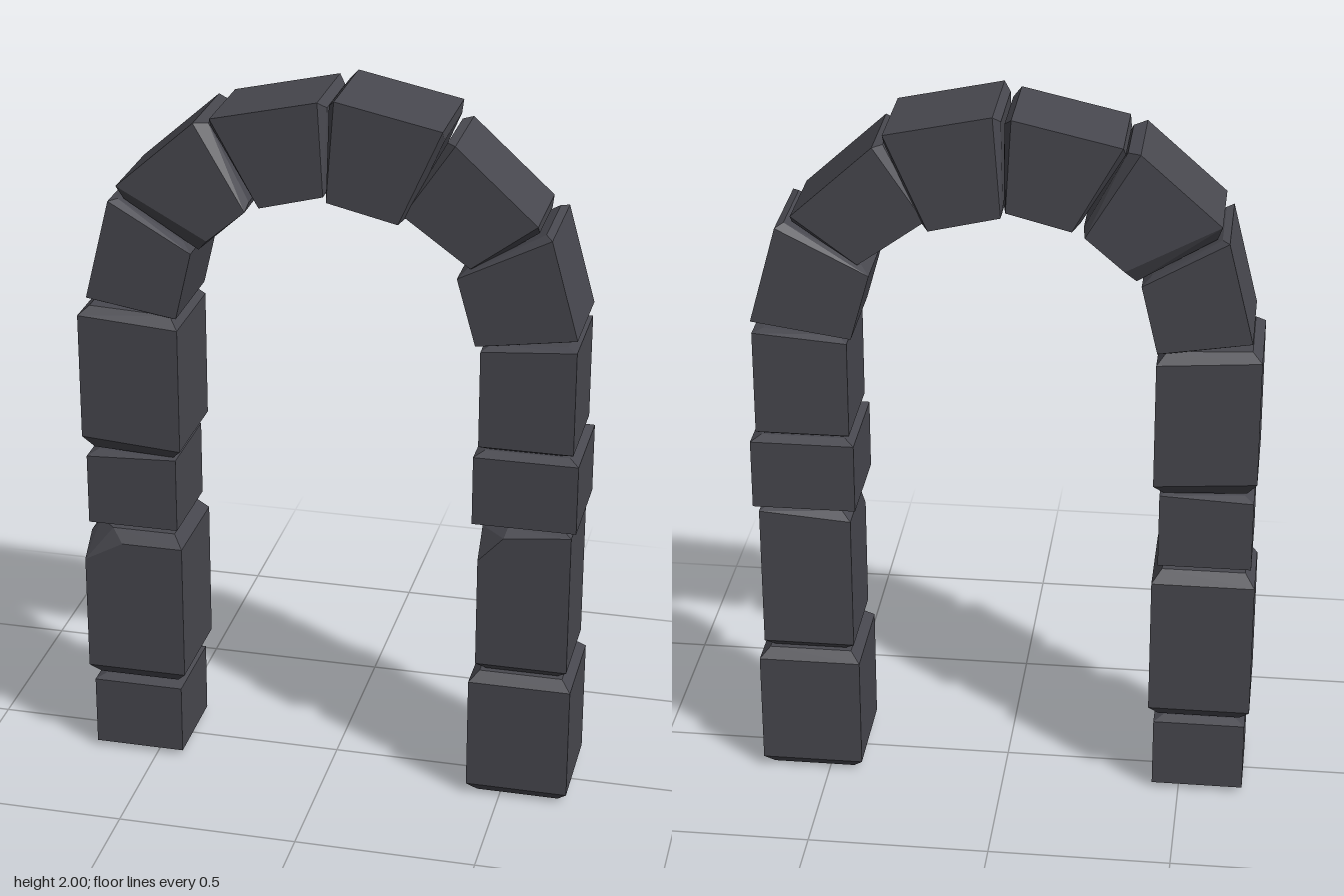
import * as THREE from 'three';
import { ConvexGeometry } from 'three/addons/geometries/ConvexGeometry.js';

const stone = new THREE.MeshStandardMaterial({ color: 0x48484f });
stone.name = 'darkStone';

const BEVEL = 0.027;

// Convex stone: body and cap are [outer start, inner start, outer end, inner end] as x,y pairs.
// zo / zi are the half depths on the outer and inner side. chip knocks off one front corner.
function block(name, body, cap, zo, zi = zo, chip = null) {
  const pts = [];
  const add = (quad, inset) => {
    for (let i = 0; i < 4; i++) {
      const x = quad[i * 2], y = quad[i * 2 + 1];
      const z = (i % 2 ? zi : zo) - inset;
      for (const s of [1, -1]) {
        if (chip && chip.index === i && s > 0) {
          if (inset) pts.push(new THREE.Vector3(x + 0.05, y, z), new THREE.Vector3(x, y, z - 0.05));
          else {
            pts.push(new THREE.Vector3(x, y - chip.drop, z));
            pts.push(new THREE.Vector3(x + chip.run, y, z));
            pts.push(new THREE.Vector3(x, y, z - 0.07));
          }
        } else pts.push(new THREE.Vector3(x, y, s * z));
      }
    }
  };
  add(body, 0);
  add(cap, BEVEL);
  const mesh = new THREE.Mesh(new ConvexGeometry(pts), stone);
  mesh.name = name;
  return mesh;
}

// Leg stone between x0 and x1: heights of bottom cap, body bottom, body top, top cap;
// t0 and t1 slope the bottom and top joints.
function legBlock(name, [x0, x1, y0, y1, y2, y3, depth, t0 = 0, t1 = 0], chip) {
  const a = x0 + BEVEL, b = x1 - BEVEL;
  return block(name,
    [x0, y1 + t0, x1, y1 - t0, x0, y2 + t1, x1, y2 - t1],
    [a, y0 + t0 / 2, b, y0 - t0 / 2, a, y3 + t1 / 2, b, y3 - t1 / 2],
    depth, depth, chip);
}

export function createModel() {
  const model = new THREE.Group();
  model.name = 'stoneArch';

  // Straight pillars, bottom to top
  const pillars = {
    rightPillar: [
      [-0.68, -0.425, 0, 0.015, 0.217, 0.228, 0.13],
      [-0.692, -0.41, 0.238, 0.27, 0.667, 0.702, 0.142],
      [-0.68, -0.425, 0.708, 0.72, 0.928, 0.938, 0.13, 0, -0.006],
      [-0.687, -0.408, 0.942, 0.977, 1.335, 1.362, 0.142, 0.01, 0.01],
    ],
    leftPillar: [
      [0.406, 0.69, 0, 0.03, 0.355, 0.382, 0.142],
      [0.422, 0.676, 0.385, 0.41, 0.812, 0.828, 0.13, 0, -0.01],
      [0.406, 0.69, 0.83, 0.843, 1.04, 1.053, 0.142],
      [0.418, 0.674, 1.055, 1.07, 1.353, 1.363, 0.136, 0, -0.01],
    ],
  };
  for (const [name, rows] of Object.entries(pillars)) {
    const pillar = new THREE.Group();
    pillar.name = name;
    rows.forEach((row, i) => {
      const chip = i === 1 ? (name === 'rightPillar'
        ? { index: 2, drop: 0.06, run: 0.11 } : { index: 2, drop: 0.075, run: 0.07 }) : null;
      pillar.add(legBlock(name + 'Stone' + (i + 1), row, chip));
    });
    model.add(pillar);
  }

  // Wedge stones of the curve, from the right pillar over to the left one
  const curve = new THREE.Group();
  curve.name = 'archCurve';
  curve.add(
    block('rightSpringer',
      [-0.66, 1.4, -0.41, 1.36, -0.59, 1.68, -0.365, 1.55],
      [-0.635, 1.385, -0.445, 1.352, -0.57, 1.68, -0.39, 1.572], 0.142),
    block('rightHaunch',
      [-0.57, 1.72, -0.32, 1.59, -0.355, 1.91, -0.215, 1.68],
      [-0.557, 1.677, -0.35, 1.555, -0.32, 1.905, -0.21, 1.7], 0.13, 0.143),
    block('rightCrown',
      [-0.31, 1.925, -0.18, 1.69, -0.022, 1.99, -0.007, 1.735],
      [-0.315, 1.9, -0.2, 1.705, -0.002, 1.97, 0, 1.75], 0.13),
    block('leftCrown',
      [0.025, 2, 0.004, 1.725, 0.31, 1.94, 0.195, 1.68],
      [0.006, 1.98, 0.001, 1.745, 0.31, 1.91, 0.22, 1.7], 0.142),
    block('leftHaunch',
      [0.34, 1.9, 0.205, 1.7, 0.56, 1.7, 0.385, 1.57],
      [0.315, 1.9, 0.215, 1.715, 0.56, 1.675, 0.4, 1.565], 0.128),
    block('leftSpringer',
      [0.6, 1.67, 0.353, 1.545, 0.675, 1.4, 0.405, 1.36],
      [0.58, 1.677, 0.375, 1.565, 0.65, 1.385, 0.427, 1.352], 0.142));
  model.add(curve);
  return model;
}
